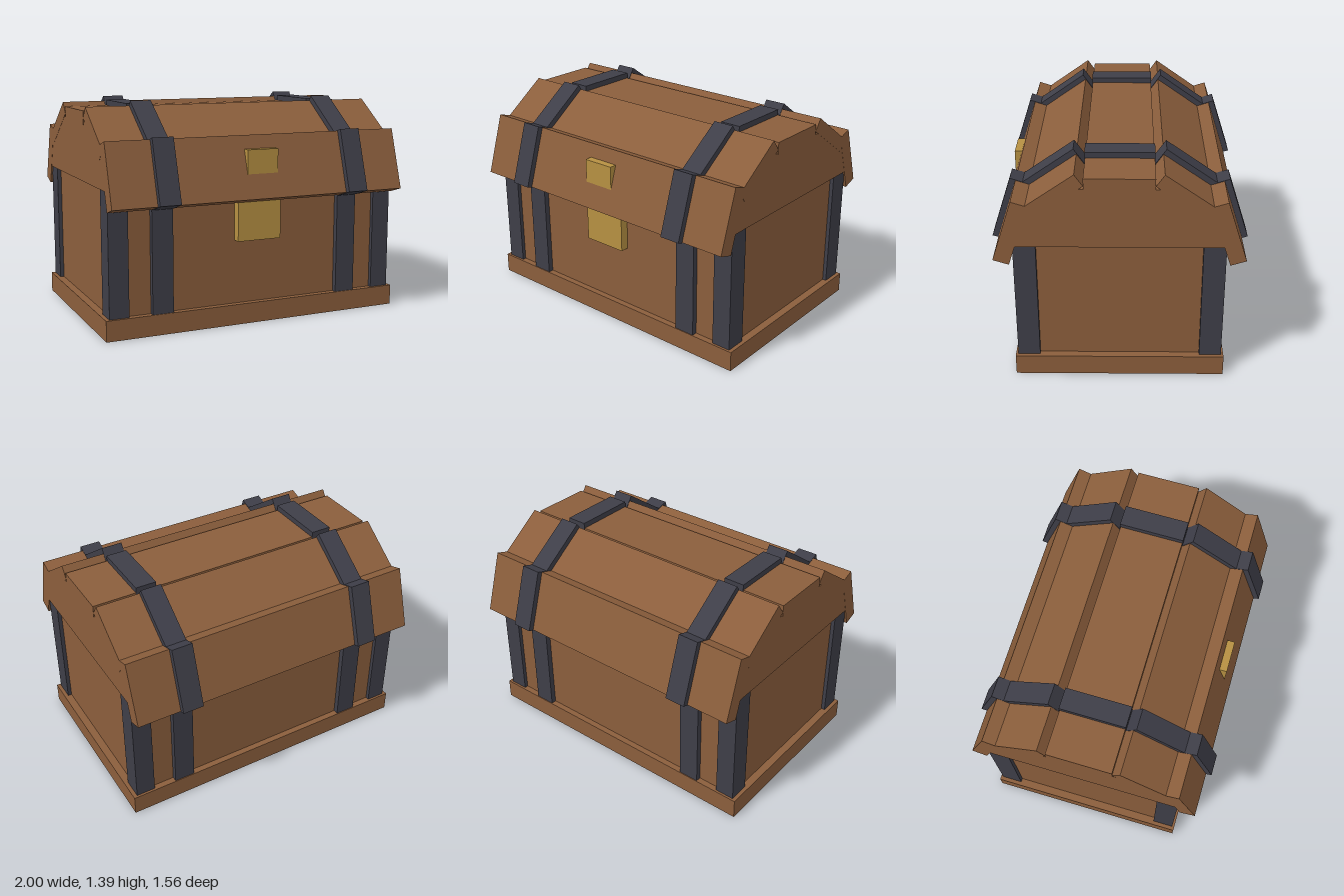
import * as THREE from 'three';

export function createModel() {
  const chest = new THREE.Group();
  chest.name = 'chest';

  const material = (name, color) => {
    const m = new THREE.MeshStandardMaterial({ color });
    m.name = name;
    return m;
  };
  const wood = material('wood', 0x8b5e3c);
  const iron = material('darkIron', 0x3e3e48);
  const brass = material('brass', 0xb69042);

  // Axis-aligned box given by its minimum and maximum corners
  const box = (name, mat, [x0, y0, z0], [x1, y1, z1], parent = chest) => {
    const mesh = new THREE.Mesh(new THREE.BoxGeometry(x1 - x0, y1 - y0, z1 - z0), mat);
    mesh.position.set((x0 + x1) / 2, (y0 + y1) / 2, (z0 + z1) / 2);
    mesh.name = name;
    parent.add(mesh);
    return mesh;
  };

  // Base and body
  box('base', wood, [-1, 0, -0.64], [1, 0.13, 0.64]);
  box('body', wood, [-0.95, 0.1, -0.6], [0.95, 0.95, 0.6]);

  // Iron corner posts and vertical body straps, on both sides, front and back
  for (const sx of [-1, 1]) {
    for (const sz of [-1, 1]) {
      const post = box('cornerPost', iron, [-0.0625, 0.1, -0.0675], [0.0625, 0.92, 0.0675]);
      post.position.x = sx * 0.9125;
      post.position.z = sz * 0.5575;
      const strap = box('bodyStrap', iron, [-0.0675, 0.1, -0.03], [0.0675, 0.92, 0.03]);
      strap.position.x = sx * 0.6375;
      strap.position.z = sz * 0.605;
    }
  }

  // Solid core of the lid, extruded along x
  const lid = new THREE.Group();
  lid.name = 'lid';
  chest.add(lid);
  const half = [[0.615, 0.897], [0.56, 1.09], [0.235, 1.27]];
  const outline = [...half, ...half.map(([z, y]) => [-z, y]).reverse()];
  const shape = new THREE.Shape(outline.map(([z, y]) => new THREE.Vector2(z, y)));
  const coreGeometry = new THREE.ExtrudeGeometry(shape, { depth: 1.968, bevelEnabled: false });
  coreGeometry.translate(0, 0, -0.984);
  coreGeometry.rotateY(-Math.PI / 2);
  const core = new THREE.Mesh(coreGeometry, wood);
  core.name = 'lidCore';
  lid.add(core);

  // Plank whose outer face runs from a to b in (z, y), with two iron straps wrapped over it
  const plank = (name, a, b, thickness) => {
    const group = new THREE.Group();
    group.name = name;
    const dz = b[0] - a[0], dy = b[1] - a[1];
    const length = Math.hypot(dz, dy);
    group.position.set(0, (a[1] + b[1]) / 2, (a[0] + b[0]) / 2);
    group.rotation.x = Math.atan2(-dy, dz);
    lid.add(group);
    const h = length / 2;
    box('plank', wood, [-0.985, -thickness, -h], [0.985, 0, h], group);
    for (const x of [-0.6375, 0.6375]) {
      box('lidStrap', iron, [x - 0.0675, -thickness - 0.003, -h - 0.003],
        [x + 0.0675, 0.036, h + 0.003], group);
    }
  };
  plank('frontLowerPlank', [0.62, 1.19], [0.743, 0.808], 0.1);
  plank('frontUpperPlank', [0.255, 1.363], [0.575, 1.138], 0.088);
  plank('topPlank', [-0.205, 1.337], [0.205, 1.337], 0.088);
  plank('backUpperPlank', [-0.575, 1.138], [-0.255, 1.363], 0.088);
  plank('backLowerPlank', [-0.743, 0.808], [-0.62, 1.19], 0.1);

  // Brass lock
  box('lockPlate', brass, [-0.148, 0.535, 0.58], [0.145, 0.86, 0.655]);
  box('lockHasp', brass, [-0.105, 0.95, 0.6], [0.103, 1.107, 0.695]);

  return chest;
}
